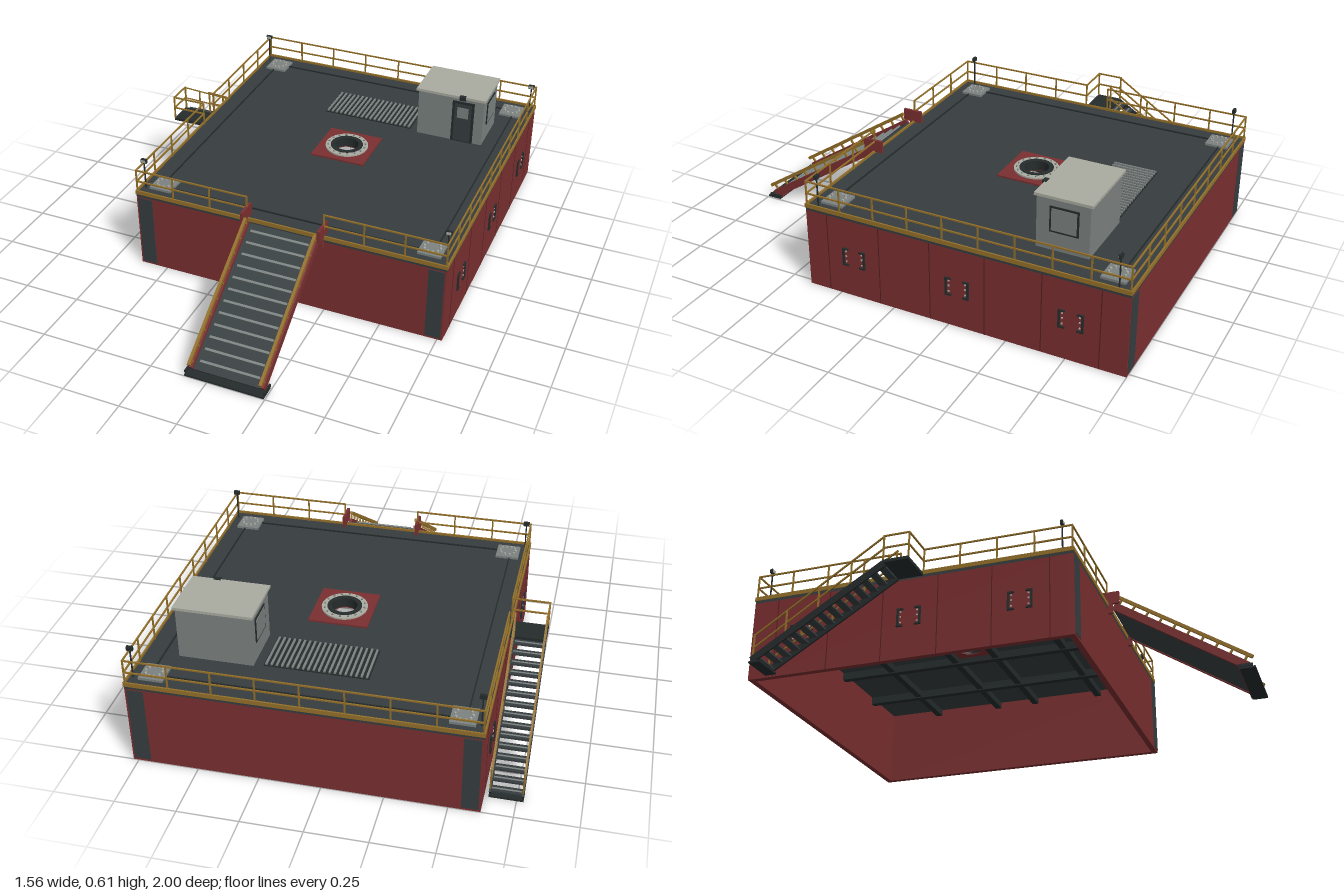
import * as THREE from 'three';

const mat = (name, color, side = THREE.FrontSide) => {
  const m = new THREE.MeshStandardMaterial({ color, side });
  m.name = name;
  return m;
};

export function createModel() {
  const red = mat('hull red', 0x7a2f30);
  const seamRed = mat('seam red', 0x551f22);
  const deckGrey = mat('deck grey', 0x363d3f);
  const dark = mat('dark steel', 0x252b2c);
  const gold = mat('ochre paint', 0x94702a);
  const grey = mat('cabin grey', 0x7b8280);
  const pale = mat('pale grey', 0xaaaba0);

  const model = new THREE.Group();
  const X0 = -0.625, X1 = 0.772, Z0 = -1, Z1 = 0.4, CX = 0.073, CZ = -0.3, DECK = 0.37;

  const group = (name, parent = model) => {
    const g = new THREE.Group();
    g.name = name;
    parent.add(g);
    return g;
  };
  const add = (parent, name, geo, m) => {
    const mesh = new THREE.Mesh(geo, m);
    mesh.name = name;
    parent.add(mesh);
    return mesh;
  };
  // Box given by its limits on each axis
  const box = (p, name, m, x0, x1, y0, y1, z0, z1) => {
    const b = add(p, name, new THREE.BoxGeometry(x1 - x0, y1 - y0, z1 - z0), m);
    b.position.set((x0 + x1) / 2, (y0 + y1) / 2, (z0 + z1) / 2);
    return b;
  };
  // Square bar between two points
  const bar = (p, name, m, a, b, w = 0.006, h = w) => {
    const A = new THREE.Vector3(...a), B = new THREE.Vector3(...b);
    const mesh = add(p, name, new THREE.BoxGeometry(w, h, A.distanceTo(B)), m);
    mesh.position.copy(A).lerp(B, 0.5);
    mesh.lookAt(B);
    return mesh;
  };
  const cyl = (p, name, m, r, h, x, y, z, sides = 12) => {
    const c = add(p, name, new THREE.CylinderGeometry(r, r, h, sides), m);
    c.position.set(x, y, z);
    return c;
  };
  // Flat square plate with a round hole, lying at height y
  const holedPlate = (p, name, m, x0, x1, z0, z1, y, h, r) => {
    const s = new THREE.Shape([[x0, -z1], [x1, -z1], [x1, -z0], [x0, -z0]].map(q => new THREE.Vector2(...q)));
    s.holes.push(new THREE.Path().absarc(CX, -CZ, r, 0, Math.PI * 2, true));
    const plate = add(p, name, new THREE.ExtrudeGeometry(s, { depth: h, bevelEnabled: false, curveSegments: 20 }), m);
    plate.rotation.x = -Math.PI / 2;
    plate.position.y = y;
  };

  // Hollow hull, open below
  const hull = group('hull');
  const T = 0.025;
  box(hull, 'frontWall', red, X0, X1, 0, 0.35, Z1 - T, Z1);
  box(hull, 'backWall', red, X0, X1, 0, 0.35, Z0, Z0 + T);
  box(hull, 'leftWall', red, X1 - T, X1, 0, 0.35, Z0 + T, Z1 - T);
  box(hull, 'rightWall', red, X0, X0 + T, 0, 0.35, Z0 + T, Z1 - T);
  for (const x of [-0.617, 0.697]) {
    box(hull, 'frontCornerPlate', deckGrey, x, x + 0.067, 0.01, 0.345, Z1, Z1 + 0.003);
    box(hull, 'backCornerPlate', deckGrey, x, x + 0.067, 0.01, 0.345, Z0 - 0.002, Z0 + 0.001);
  }
  // Side seams and bolted brackets
  for (const [x, s] of [[X0, -1], [X1, 1]]) {
    const side = (name, m, d, y0, y1, z0, z1) =>
      box(hull, name, m, Math.min(x, x + s * d), Math.max(x, x + s * d), y0, y1, z0, z1);
    for (const z of [0.3, 0.06, -0.17, -0.41, -0.65, -0.89]) side('seam', seamRed, 0.001, 0, 0.35, z, z + 0.004);
    for (const z of [0.18, -0.29, -0.77]) {
      for (const e of [-1, 1]) {
        const a = z + e * 0.052, b = z + e * 0.044, c = z + e * 0.025;
        side('bracketSide', dark, 0.007, 0.14, 0.22, Math.min(a, b), Math.max(a, b));
        for (const y of [0.14, 0.213]) side('bracketLip', dark, 0.007, y, y + 0.007, Math.min(a, c), Math.max(a, c));
        for (const y of [0.155, 0.18, 0.202]) side('bracketBolt', pale, 0.004, y, y + 0.006, z + e * 0.036 - 0.003, z + e * 0.036 + 0.003);
      }
    }
  }

  // Deck, edge band and inner coaming
  const deck = group('deck');
  holedPlate(deck, 'deckPlate', deckGrey, X0, X1, Z0, Z1, 0.35, DECK - 0.35, 0.055);
  const frame = (name, m, i, w, y0, y1) => {
    const a = X0 + i, b = X1 - i, c = Z0 + i, d = Z1 - i;
    box(deck, name, m, a, b, y0, y1, c, c + w);
    box(deck, name, m, a, b, y0, y1, d - w, d);
    box(deck, name, m, a, a + w, y0, y1, c + w, d - w);
    box(deck, name, m, b - w, b, y0, y1, c + w, d - w);
  };
  frame('edgeBand', gold, -0.003, 0.007, 0.362, 0.38);
  frame('coaming', dark, 0.077, 0.005, DECK, 0.376);
  // Beams under the deck
  for (const o of [-0.42, 0, 0.42]) for (const k of [-0.07, 0.07]) {
    const q = o + (o === 0 ? k * 1.4 : 0);
    if (o !== 0 && k > 0) continue;
    box(deck, 'longBeam', dark, CX + q - 0.015, CX + q + 0.015, 0.315, 0.35, Z0 + T, Z1 - T);
    box(deck, 'crossBeam', dark, X0 + T, X1 - T, 0.32, 0.35, CZ + q - 0.015, CZ + q + 0.015);
  }

  // Guard rails: a run of posts with top and middle rails
  const rails = group('guardRails');
  const railRun = (x0, z0, x1, z1, n) => {
    for (let i = 0; i <= n; i++) {
      const x = x0 + (x1 - x0) * i / n, z = z0 + (z1 - z0) * i / n;
      bar(rails, 'post', gold, [x, DECK, z], [x, 0.482, z]);
    }
    for (const y of [0.425, 0.479]) bar(rails, 'rail', gold, [x0, y, z0], [x1, y, z1]);
  };
  const RX0 = X0 + 0.004, RX1 = X1 - 0.004, RZ0 = Z0 + 0.004, RZ1 = Z1 - 0.004;
  railRun(RX0, RZ1, -0.1, RZ1, 3);
  railRun(0.245, RZ1, RX1, RZ1, 3);
  railRun(RX0, RZ0, RX1, RZ0, 8);
  railRun(RX1, RZ0, RX1, RZ1, 9);
  railRun(RX0, RZ0, RX0, -0.34, 4);
  railRun(RX0, -0.235, RX0, RZ1, 4);

  // Side stair with landing
  const stair = group('sideStair');
  const SX0 = -0.777, SX1 = -0.642;
  box(stair, 'landing', dark, SX0, X0, 0.357, DECK, -0.345, -0.235);
  railRun(SX0 + 0.003, -0.235, RX0, -0.235, 1);
  railRun(SX0 + 0.003, -0.345, SX0 + 0.003, -0.235, 1);
  for (const x of [SX0 + 0.004, SX1 - 0.004]) {
    bar(stair, 'stringer', dark, [x, 0.355, -0.34], [x, 0.012, -0.9], 0.008, 0.03);
    for (const h of [0.055, 0.11]) bar(stair, 'handrail', gold, [x, DECK + h, -0.34], [x, 0.01 + h, -0.895]);
    for (let i = 0; i < 5; i++) {
      const t = i / 4, y = 0.36 - 0.35 * t, z = -0.345 - 0.55 * t;
      bar(stair, 'handrailPost', gold, [x, y, z], [x, y + 0.115, z]);
    }
  }
  for (let i = 0; i < 15; i++) {
    const y = 0.02 + i * 0.0235, z = -0.885 + i * 0.0375;
    box(stair, 'tread', deckGrey, SX0 + 0.008, SX1 - 0.008, y, y + 0.008, z - 0.017, z + 0.017);
    box(stair, 'treadNosing', grey, SX0 + 0.01, SX1 - 0.01, y + 0.007, y + 0.009, z - 0.004, z + 0.004);
  }
  box(stair, 'stairFoot', dark, SX0, SX1, 0, 0.008, -0.91, -0.86);

  // Front ramp, sloped as one group
  const ramp = group('ramp');
  const L = 0.65;
  ramp.position.set(0.073, 0.195, 0.695);
  ramp.rotation.x = Math.atan2(0.355, 0.545);
  box(ramp, 'rampPlate', deckGrey, -0.155, 0.155, -0.014, 0, -L / 2, L / 2);
  for (let i = 0; i < 12; i++) {
    const z = -0.29 + i * 0.0525;
    box(ramp, 'cleat', grey, -0.13, 0.13, 0, 0.008, z - 0.005, z + 0.005);
  }
  for (const s of [-1, 1]) {
    const x = s * 0.155;
    box(ramp, 'sideBeam', red, x - 0.007, x + 0.007, -0.018, 0.016, -L / 2, L / 2);
    box(ramp, 'kerbRail', gold, x - 0.006, x + 0.006, 0.036, 0.05, -L / 2, L / 2);
    for (let i = 0; i < 10; i++) {
      const z = -0.31 + i * 0.068;
      box(ramp, 'kerbPost', gold, x - 0.004, x + 0.004, 0.016, 0.036, z - 0.004, z + 0.004);
    }
    // Hinge plates at the deck edge
    const hx = 0.071 + s * 0.171;
    box(model, 'hingePlate', red, hx - 0.006, hx + 0.006, 0.375, 0.43, 0.36, 0.45);
    box(model, 'hingeArm', red, hx - 0.006, hx + 0.006, 0.33, 0.385, 0.4, 0.42);
    box(model, 'toeRib', dark, hx - 0.004, hx + 0.004, 0.008, 0.02, 0.93, 0.99);
  }
  box(model, 'rampToe', dark, -0.1, 0.245, 0, 0.008, 0.935, 1);
  box(model, 'rampToeBeam', red, -0.09, 0.235, 0.008, 0.022, 0.93, 0.955);

  // Central opening with bolted ring
  const well = group('centralOpening');
  holedPlate(well, 'wellPlate', red, CX - 0.125, CX + 0.125, CZ - 0.125, CZ + 0.125, DECK, 0.008, 0.055);
  holedPlate(well, 'underPlate', red, CX - 0.1, CX + 0.1, CZ - 0.08, CZ + 0.08, 0.34, 0.01, 0.055);
  const ring = (name, m, ri, ro, y0, y1) => {
    const pts = [[ri, y0], [ro, y0], [ro, y1], [ri, y1], [ri, y0]].map(q => new THREE.Vector2(...q));
    const geo = new THREE.LatheGeometry(pts, 32).toNonIndexed();
    geo.computeVertexNormals();
    add(well, name, geo, m).position.set(CX, 0, CZ);
  };
  ring('outerRing', pale, 0.072, 0.097, 0.376, 0.385);
  ring('innerRing', dark, 0.053, 0.073, 0.345, 0.388);
  for (let i = 0; i < 16; i++) {
    const a = i * Math.PI / 8;
    cyl(well, 'ringBolt', grey, 0.004, 0.006, CX + 0.085 * Math.cos(a), 0.387, CZ + 0.085 * Math.sin(a), 6);
  }

  // Slatted grille
  const grille = group('grille');
  box(grille, 'grilleBase', dark, -0.14, 0.285, DECK, 0.374, -0.765, -0.57);
  for (let i = 0; i < 20; i++) {
    const x = -0.13 + i * 0.0213;
    box(grille, 'slat', grey, x - 0.004, x + 0.004, 0.374, 0.381, -0.762, -0.573);
  }

  // Corner pads with bolts, and lamps near the rails
  for (const x of [-0.535, 0.68]) for (const z of [-0.91, 0.305]) {
    const pad = group('cornerPad');
    box(pad, 'padPlate', grey, x - 0.05, x + 0.05, DECK, 0.38, z - 0.05, z + 0.05);
    for (let i = 0; i < 10; i++) {
      const a = i * Math.PI / 5;
      cyl(pad, 'padBolt', pale, 0.005, 0.008, x + 0.034 * Math.cos(a), 0.384, z + 0.034 * Math.sin(a), 6);
    }
  }
  for (const x of [-0.605, 0.755]) for (const z of [-0.945, 0.35]) {
    const lamp = group('deckLamp');
    bar(lamp, 'lampPole', dark, [x, DECK, z], [x, 0.5, z], 0.005);
    box(lamp, 'lampHead', dark, x - 0.013, x + 0.013, 0.495, 0.513, z - 0.006, z + 0.006);
    box(lamp, 'lampGlass', pale, x - 0.01, x + 0.01, 0.498, 0.51, z + 0.006, z + 0.008);
  }

  // Cabin
  const cabin = group('cabin');
  box(cabin, 'cabinWalls', grey, 0.323, 0.63, DECK, 0.592, -0.775, -0.555);
  box(cabin, 'cabinRoof', pale, 0.313, 0.638, 0.592, 0.604, -0.785, -0.546);
  box(cabin, 'doorFrame', dark, 0.485, 0.587, DECK, 0.575, -0.555, -0.55);
  box(cabin, 'door', deckGrey, 0.497, 0.575, 0.376, 0.563, -0.55, -0.547);
  box(cabin, 'doorWindow', grey, 0.51, 0.562, 0.495, 0.548, -0.547, -0.545);
  for (const [x, s] of [[0.323, -1], [0.63, 1]]) {
    box(cabin, 'windowFrame', dark, x - 0.004, x + 0.004, 0.45, 0.56, -0.73, -0.61);
    box(cabin, 'windowGlass', grey, x + s * 0.003 - 0.003, x + s * 0.003 + 0.003, 0.458, 0.552, -0.722, -0.618);
  }
  box(cabin, 'doorLamp', dark, 0.518, 0.546, 0.588, 0.607, -0.555, -0.537);

  return model;
}
